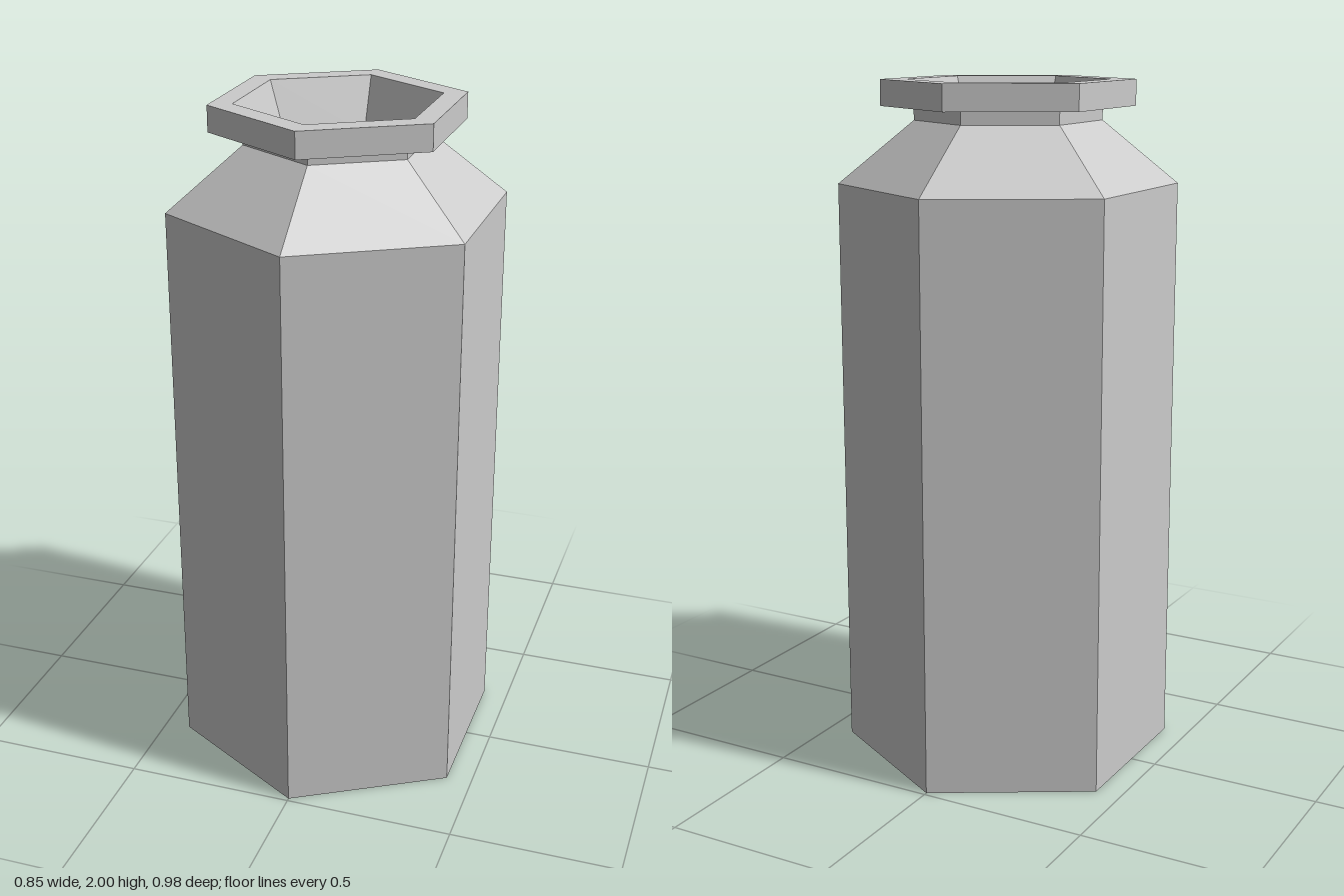
import * as THREE from 'three';

const SIDES = 6;
const material = new THREE.MeshStandardMaterial({ color: 0xcccccc, flatShading: true });

// Six-sided turned part from [radius, height] pairs, corners on the z axis
function turned(name, profile) {
  const points = profile.map(([r, y]) => new THREE.Vector2(r, y));
  const geometry = new THREE.LatheGeometry(points, SIDES).toNonIndexed();
  geometry.computeVertexNormals();
  const mesh = new THREE.Mesh(geometry, material);
  mesh.name = name;
  return mesh;
}

export function createModel() {
  const jar = new THREE.Group();
  jar.name = 'hexagonalJar';

  // Base, straight wall and sloping shoulder
  jar.add(turned('body', [[0, 0], [0.49, 0], [0.49, 1.705], [0.27, 1.885]]));

  // Short neck with overhanging lip
  jar.add(turned('neckAndLip', [[0.27, 1.885], [0.27, 1.925], [0.365, 1.925], [0.365, 2], [0.295, 2]]));

  // Funnel mouth, hollow below the shoulder, inner wall and floor
  jar.add(turned('interior', [[0.295, 2], [0.232, 1.845], [0.43, 1.68], [0.43, 0.06], [0, 0.06]]));

  return jar;
}
